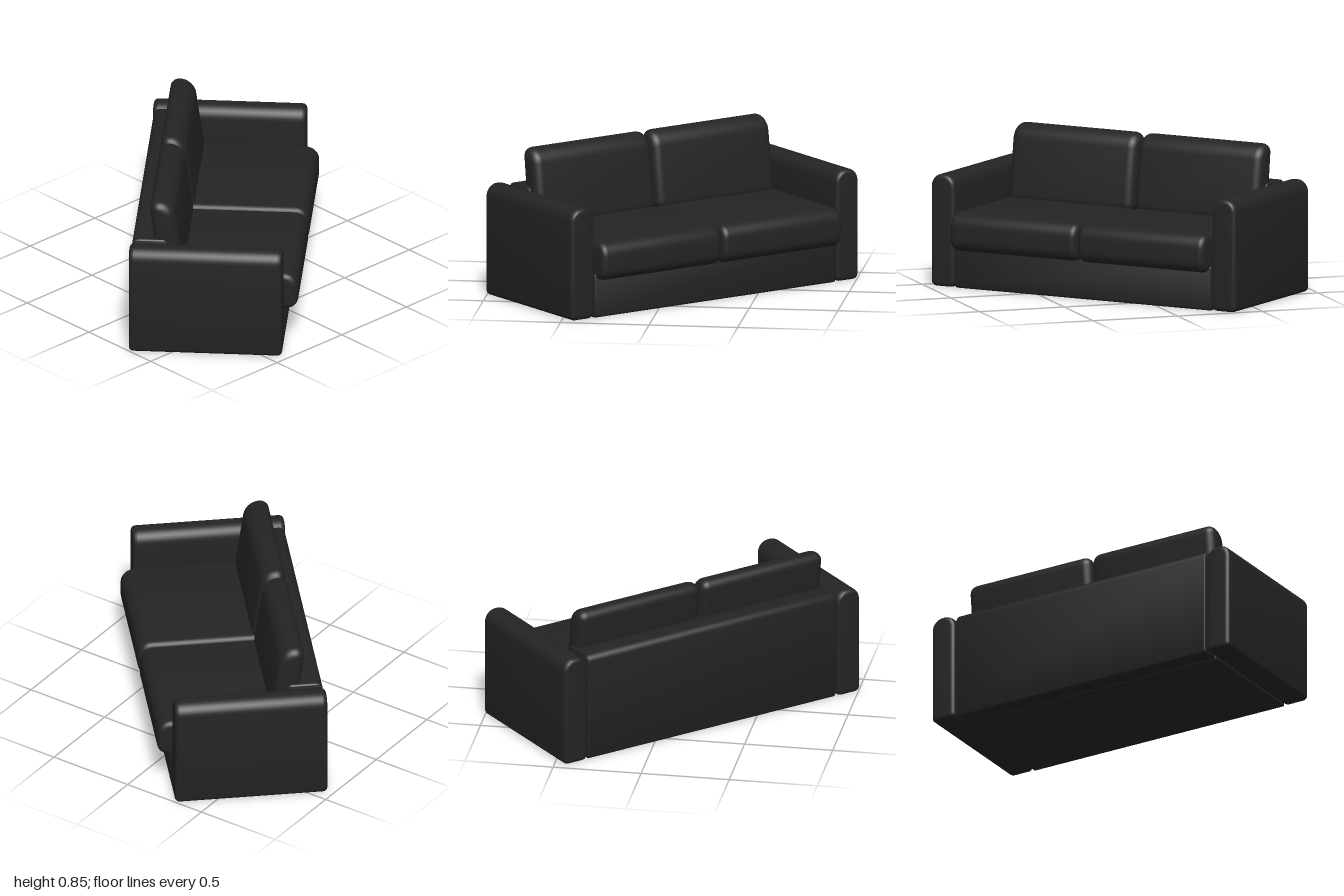
import * as THREE from 'three';
import { toCreasedNormals } from 'three/addons/utils/BufferGeometryUtils.js';

// Closed outline from [x, y, cornerRadius] points, with rounded corners
function roundedOutline(points) {
  const shape = new THREE.Shape();
  const n = points.length;
  const v = points.map(([x, y]) => new THREE.Vector2(x, y));
  for (let i = 0; i < n; i++) {
    const p = v[i], r = points[i][2];
    const a = v[(i + n - 1) % n].clone().sub(p).setLength(r).add(p);
    const b = v[(i + 1) % n].clone().sub(p).setLength(r).add(p);
    const c1 = a.clone().lerp(p, 0.5523), c2 = b.clone().lerp(p, 0.5523);
    if (i === 0) shape.moveTo(a.x, a.y);
    else shape.lineTo(a.x, a.y);
    shape.bezierCurveTo(c1.x, c1.y, c2.x, c2.y, b.x, b.y);
  }
  shape.closePath();
  return shape;
}

// Extrusion of the outline with soft ends, centred on z
function softExtrude(points, length, bevel) {
  const geo = new THREE.ExtrudeGeometry(roundedOutline(points), {
    depth: length - 2 * bevel, steps: 1, curveSegments: 7,
    bevelEnabled: true, bevelThickness: bevel, bevelSize: bevel,
    bevelOffset: -bevel, bevelSegments: 6,
  });
  geo.translate(0, 0, bevel - length / 2);
  return toCreasedNormals(geo, 0.7);
}

// The same, with the outline read as (z, y) and the length along x
function softBar(points, length, bevel) {
  return softExtrude(points, length, bevel).rotateY(-Math.PI / 2);
}

export function createModel() {
  const upholstery = new THREE.MeshStandardMaterial({ color: 0x242424 });
  upholstery.name = 'blackUpholstery';

  const model = new THREE.Group();
  model.name = 'sofa';
  const sofa = new THREE.Group();
  sofa.name = 'sofaBody';
  sofa.rotation.y = THREE.MathUtils.degToRad(42); // stands at an angle
  model.add(sofa);

  const add = (name, geo, x = 0) => {
    const mesh = new THREE.Mesh(geo, upholstery);
    mesh.name = name;
    mesh.position.x = x;
    sofa.add(mesh);
  };

  // Base under the seat
  add('base', softBar([
    [-0.308, 0, 0.015], [0.428, 0, 0.015], [0.428, 0.25, 0.015], [-0.308, 0.25, 0.015],
  ], 1.636, 0.008));

  // Back panel, thicker towards the top
  add('backPanel', softBar([
    [-0.423, 0, 0.02], [-0.312, 0, 0.02], [-0.22, 0.628, 0.03], [-0.423, 0.628, 0.04],
  ], 1.636, 0.012));

  // Outlines shared by the left and right halves
  const armGeo = softExtrude([
    [-0.076, 0, 0.03], [0.076, 0, 0.03], [0.076, 0.636, 0.07], [-0.076, 0.636, 0.07],
  ], 0.86, 0.026);
  const seatGeo = softBar([
    [-0.28, 0.218, 0.05], [0.508, 0.218, 0.065], [0.508, 0.435, 0.075], [-0.28, 0.435, 0.05],
  ], 0.806, 0.035);
  const backGeo = softBar([
    [-0.28, 0.4, 0.06], [-0.128, 0.4, 0.06], [-0.192, 0.845, 0.08], [-0.33, 0.845, 0.055],
  ], 0.798, 0.05);

  for (const [side, s] of [['left', 1], ['right', -1]]) {
    add(side + 'Arm', armGeo, s * 0.9);
    add(side + 'SeatCushion', seatGeo, s * 0.41);
    add(side + 'BackCushion', backGeo, s * 0.404);
  }
  return model;
}
